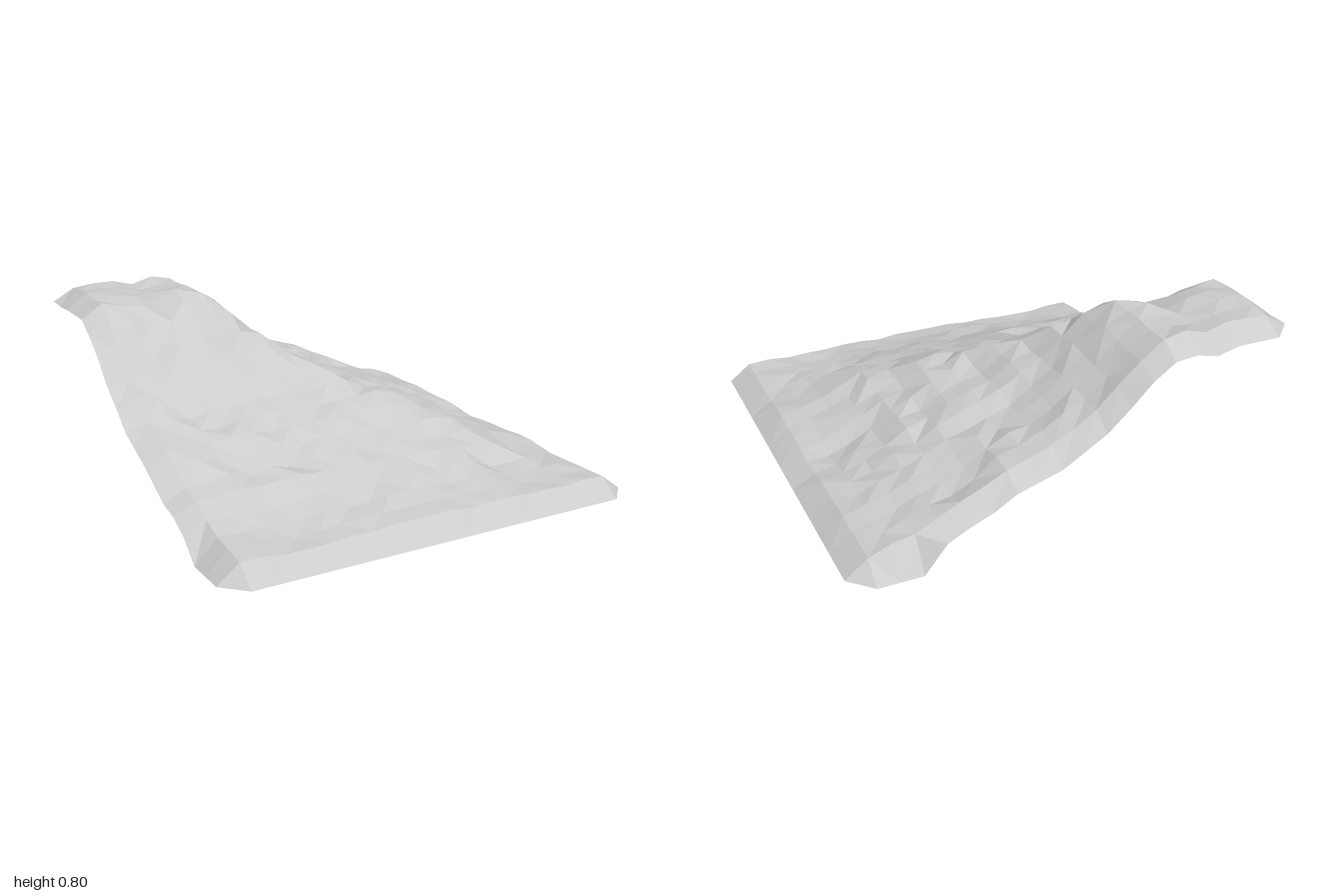
import * as THREE from 'three';

const N = 20; // grid cells per side

// Slope profiles sampled every 0.1: descending along x and along z
const slopeX = [0.80, 0.81, 0.805, 0.80, 0.775, 0.80, 0.79, 0.72, 0.62, 0.53, 0.47,
  0.41, 0.38, 0.35, 0.29, 0.25, 0.20, 0.155, 0.12, 0.09, 0.07];
const slopeZ = [0.80, 0.80, 0.795, 0.80, 0.81, 0.80, 0.74, 0.66, 0.56, 0.49, 0.41,
  0.37, 0.33, 0.28, 0.23, 0.21, 0.16, 0.125, 0.10, 0.085, 0.07];

// Hollows in the rock: x, z, radius, depth
const hollows = [
  [-0.7, -0.15, 0.3, 0.05], [0.7, 0.6, 0.2, 0.04], [0.55, 0.6, 0.12, 0.04],
  [0.8, -0.1, 0.15, 0.04], [0.2, -0.55, 0.12, 0.04], [-0.6, -0.5, 0.1, 0.04],
  [-0.6, 0.75, 0.2, 0.02], [0.5, -0.75, 0.1, 0.03],
];

function makeRandom(seed) {
  return () => {
    seed = (seed * 16807) % 2147483647;
    return seed / 2147483647;
  };
}

function createTerrain() {
  const random = makeRandom(4711);
  const positions = [];
  const index = [];

  // Height field: two slopes meeting in a ridge, dented, with a lowered rim
  for (let j = 0; j <= N; j++) {
    for (let i = 0; i <= N; i++) {
      const x = -1 + i / 10;
      const z = -1 + j / 10;
      const base = Math.min(slopeX[i], slopeZ[j]);
      const rough = random();
      let y;
      if (i === 0 || j === 0 || i === N || j === N) {
        y = Math.max(0, base - 0.075);
        if (base < 0.16) y = 0;
      } else {
        y = base - rough * Math.min(0.03, base * 0.15);
        for (const [hx, hz, r, depth] of hollows) {
          y -= depth * Math.exp(-((x - hx) ** 2 + (z - hz) ** 2) / (r * r));
        }
        y = Math.max(0.05, y);
      }
      positions.push(x, y, z);
    }
  }

  // Facets with varied diagonals; the four corners are cut off
  for (let j = 0; j < N; j++) {
    for (let i = 0; i < N; i++) {
      const a = j * (N + 1) + i;
      const b = a + 1;
      const c = a + N + 1;
      const d = c + 1;
      const left = i === 0, right = i === N - 1;
      const back = j === 0, front = j === N - 1;
      if (left && back) index.push(b, c, d);
      else if (right && front) index.push(a, c, b);
      else if (right && back) index.push(a, c, d);
      else if (left && front) index.push(a, d, b);
      else if (random() < 0.5) index.push(a, c, b, b, c, d);
      else index.push(a, c, d, a, d, b);
    }
  }

  const indexed = new THREE.BufferGeometry();
  indexed.setAttribute('position', new THREE.Float32BufferAttribute(positions, 3));
  indexed.setIndex(index);
  const geometry = indexed.toNonIndexed();
  geometry.computeVertexNormals();
  return geometry;
}

export function createModel() {
  const group = new THREE.Group();
  group.name = 'mountainCorner';
  const rock = new THREE.MeshStandardMaterial({
    color: 0xcccccc, flatShading: true, side: THREE.DoubleSide,
  });
  const terrain = new THREE.Mesh(createTerrain(), rock);
  terrain.name = 'rockySlope';
  group.add(terrain);
  return group;
}
